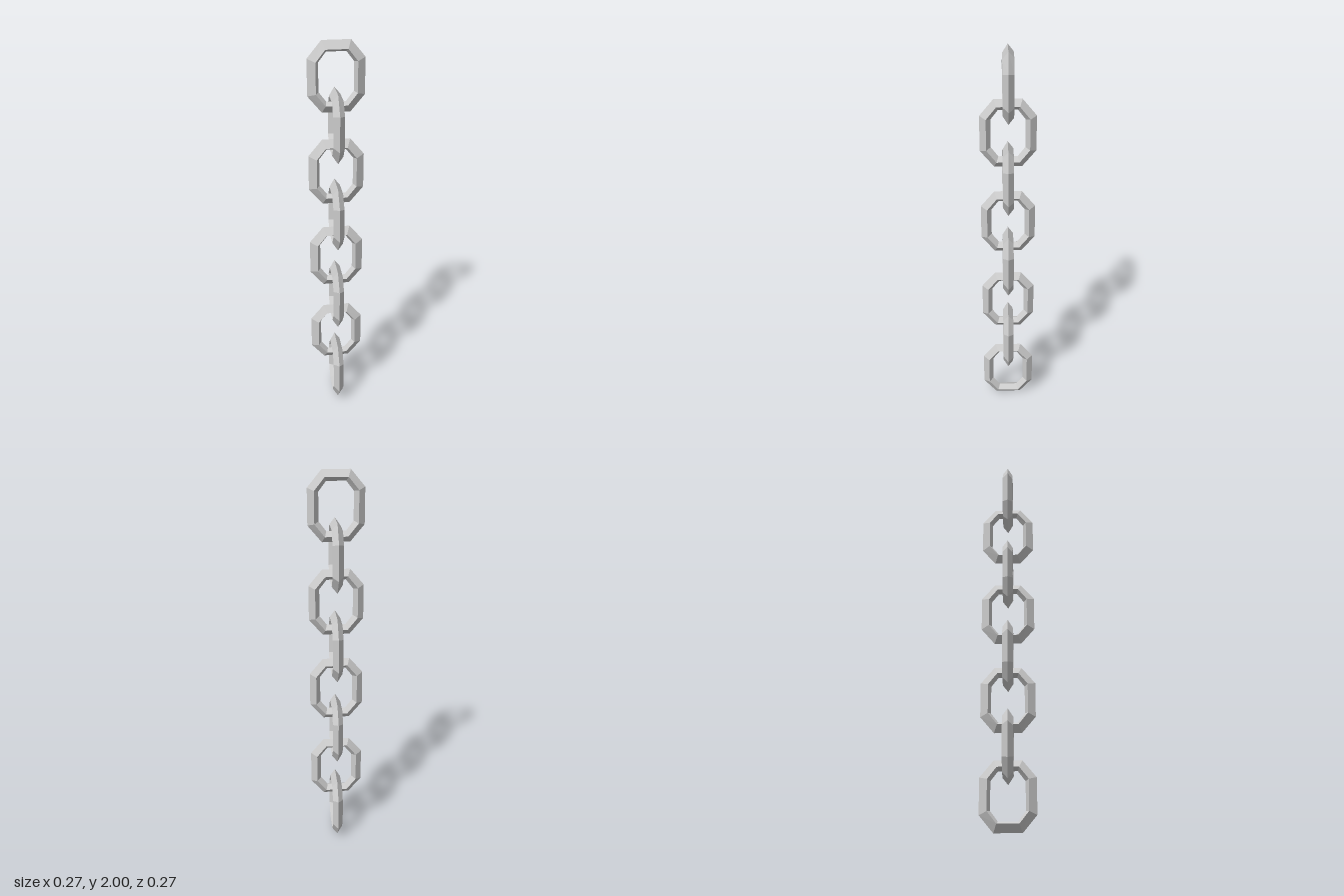
import * as THREE from 'three';

const LINKS = 8, HEIGHT = 0.34, HALF_W = 0.136;
const PITCH = (2 - HEIGHT) / (LINKS - 1);

// Bar cross-section: [inset from the outer outline, z]
const SECTION = [[0, 0], [0.038, 0.027], [0.053, 0], [0.031, -0.027]];

// Chamfered-rectangle outline, counter-clockwise, shrunk by an inset
function outline(inset) {
  const w = HALF_W - inset, h = HEIGHT / 2 - inset;
  const cx = 0.068 - 0.4 * inset, cy = 0.088 - 0.35 * inset;
  return [[w, -cy], [w, cy], [cx, h], [-cx, h], [-w, cy], [-w, -cy], [-cx, -h], [cx, -h]];
}

// Sweep the section around the outline as flat quads
function linkGeometry() {
  const rings = SECTION.map(([inset, z]) => outline(inset).map(([x, y]) => [x, y, z]));
  const positions = [];
  for (let j = 0; j < rings.length; j++) {
    const r0 = rings[j], r1 = rings[(j + 1) % rings.length];
    for (let i = 0; i < r0.length; i++) {
      const n = (i + 1) % r0.length;
      for (const p of [r0[i], r0[n], r1[n], r0[i], r1[n], r1[i]]) positions.push(...p);
    }
  }
  const geometry = new THREE.BufferGeometry();
  geometry.setAttribute('position', new THREE.Float32BufferAttribute(positions, 3));
  geometry.computeVertexNormals();
  return geometry;
}

export function createModel() {
  const group = new THREE.Group();
  group.name = 'chain';
  const material = new THREE.MeshStandardMaterial({ color: 0xcccccc, flatShading: true });
  const geometry = linkGeometry();

  // Interlocked links, every second one turned a quarter
  for (let i = 0; i < LINKS; i++) {
    const link = new THREE.Mesh(geometry, material);
    link.name = `chainLink${i + 1}`;
    link.position.y = 2 - HEIGHT / 2 - i * PITCH;
    if (i % 2) link.rotation.y = -Math.PI / 2;
    group.add(link);
  }
  return group;
}
